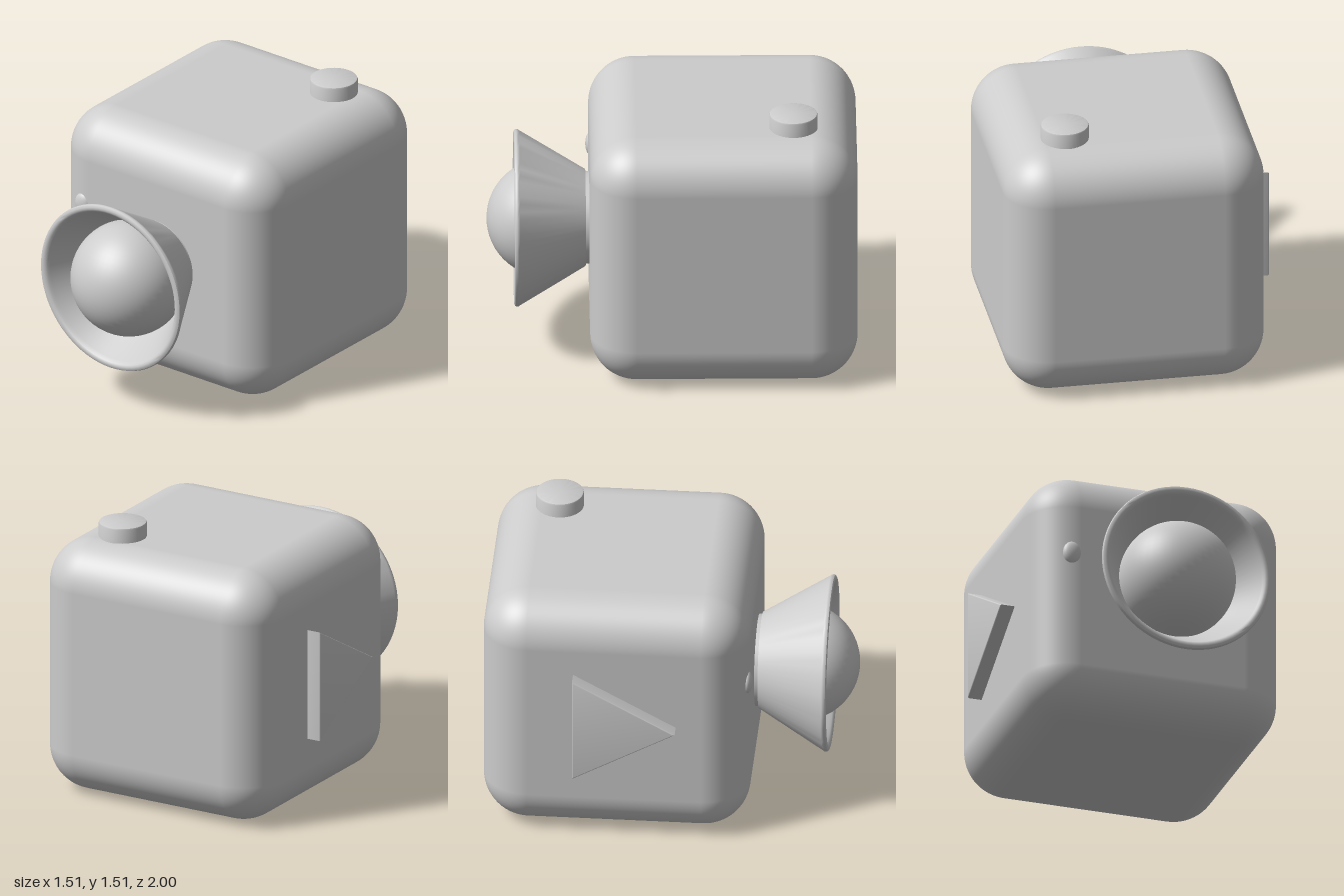
import * as THREE from 'three';
import { toCreasedNormals } from 'three/addons/utils/BufferGeometryUtils.js';
import { RoundedBoxGeometry } from 'three/addons/geometries/RoundedBoxGeometry.js';

const CX = 0.04, CY = 0.717;

export function createModel() {
  const model = new THREE.Group();
  const grey = new THREE.MeshStandardMaterial({ color: 0xcccccc });
  grey.name = 'light grey';

  const add = (name, geometry, x, y, z) => {
    const mesh = new THREE.Mesh(geometry, grey);
    mesh.name = name;
    mesh.position.set(x, y, z);
    model.add(mesh);
    return mesh;
  };
  const lathe = (points, segments) => toCreasedNormals(
    new THREE.LatheGeometry(points.map(([r, h]) => new THREE.Vector2(r, h)), segments), 0.6);

  // Rounded cube body
  add('body', new RoundedBoxGeometry(1.43, 1.43, 1.445, 10, 0.25), CX, 0.715, -0.2775);

  // Flared lens hood: outer cone, rounded rim, inner cone
  const hood = lathe([
    [0.25, 0.38], [0.25, 0.465], [0.262, 0.465], [0.474, 0.822],
    [0.479, 0.828], [0.48, 0.838], [0.476, 0.847], [0.466, 0.852],
    [0.455, 0.852], [0.444, 0.847], [0.436, 0.838], [0.43, 0.825],
    [0.22, 0.47], [0, 0.47],
  ], 72);
  hood.rotateX(Math.PI / 2);
  add('lensHood', hood, CX, CY, 0);

  // Glass ball in the hood
  add('lensBall', new THREE.SphereGeometry(0.318, 48, 32), CX, CY, 0.682);

  // Small oval light beside the lens
  add('indicatorLight', new THREE.SphereGeometry(1, 32, 20), -0.473, 0.91, 0.43)
    .scale.set(0.052, 0.066, 0.03);

  // Shutter button with a softened top edge
  add('shutterButton', lathe([
    [0.13, -0.1], [0.13, 0.075], [0.127, 0.082], [0.12, 0.085], [0, 0.085],
  ], 48), 0.395, 1.43, -0.655);

  // Triangular plate on the right side, pointing forward
  const triangle = new THREE.Shape();
  triangle.moveTo(-0.49, -0.3);
  triangle.lineTo(0.045, 0);
  triangle.lineTo(-0.49, 0.3);
  triangle.closePath();
  const plate = new THREE.ExtrudeGeometry(triangle, {
    depth: 0.12, bevelEnabled: true, bevelThickness: 0.008, bevelSize: 0.01, bevelSegments: 3,
  });
  plate.rotateY(-Math.PI / 2);
  add('sideTriangle', toCreasedNormals(plate, 0.7), -0.627, 0.725, 0);

  return model;
}
